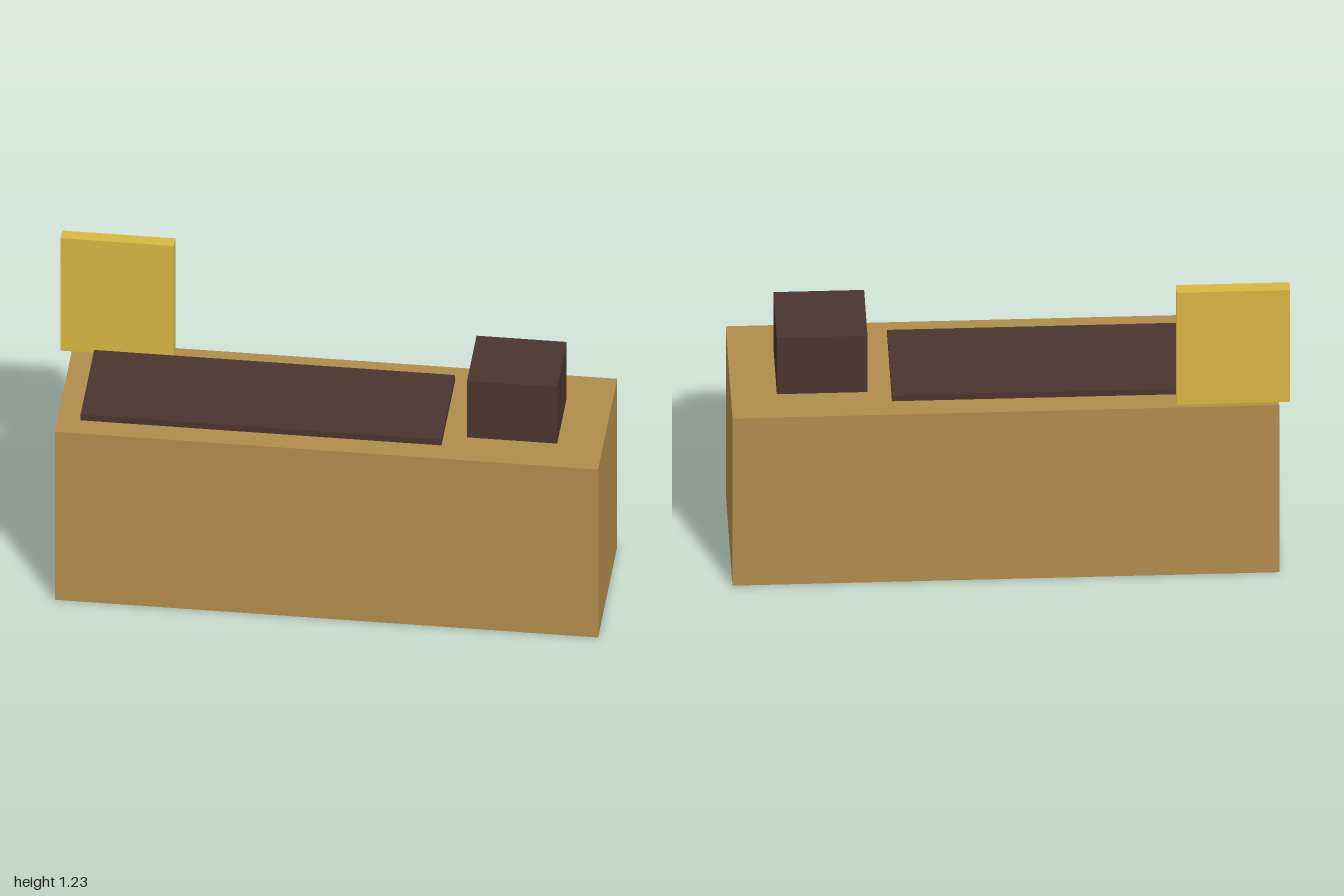
import * as THREE from 'three';

// Box given by its minimum and maximum corners
function block(name, color, min, max) {
  const size = max.map((v, i) => v - min[i]);
  const mesh = new THREE.Mesh(
    new THREE.BoxGeometry(...size),
    new THREE.MeshStandardMaterial({ color })
  );
  mesh.position.set(...min.map((v, i) => (v + max[i]) / 2));
  mesh.name = name;
  return mesh;
}

export function createModel() {
  const model = new THREE.Group();
  model.name = 'counter';
  const wood = 0xb08d4c, dark = 0x4a352f, yellow = 0xd8b743;
  const top = 0.735;

  model.add(
    // Solid counter body
    block('counterBody', wood, [-0.96, 0, -0.285], [1, top, 0.285]),
    // Thin mat lying on the counter
    block('counterMat', dark, [-0.877, top, -0.203], [0.425, 0.76, 0.203]),
    // Box at the left end
    block('counterBox', dark, [0.51, top, -0.142], [0.835, 0.982, 0.142]),
    // Upright panel at the back right corner, overhanging the end
    block('uprightPanel', yellow, [-1, top, -0.268], [-0.592, 1.227, -0.22])
  );
  return model;
}
